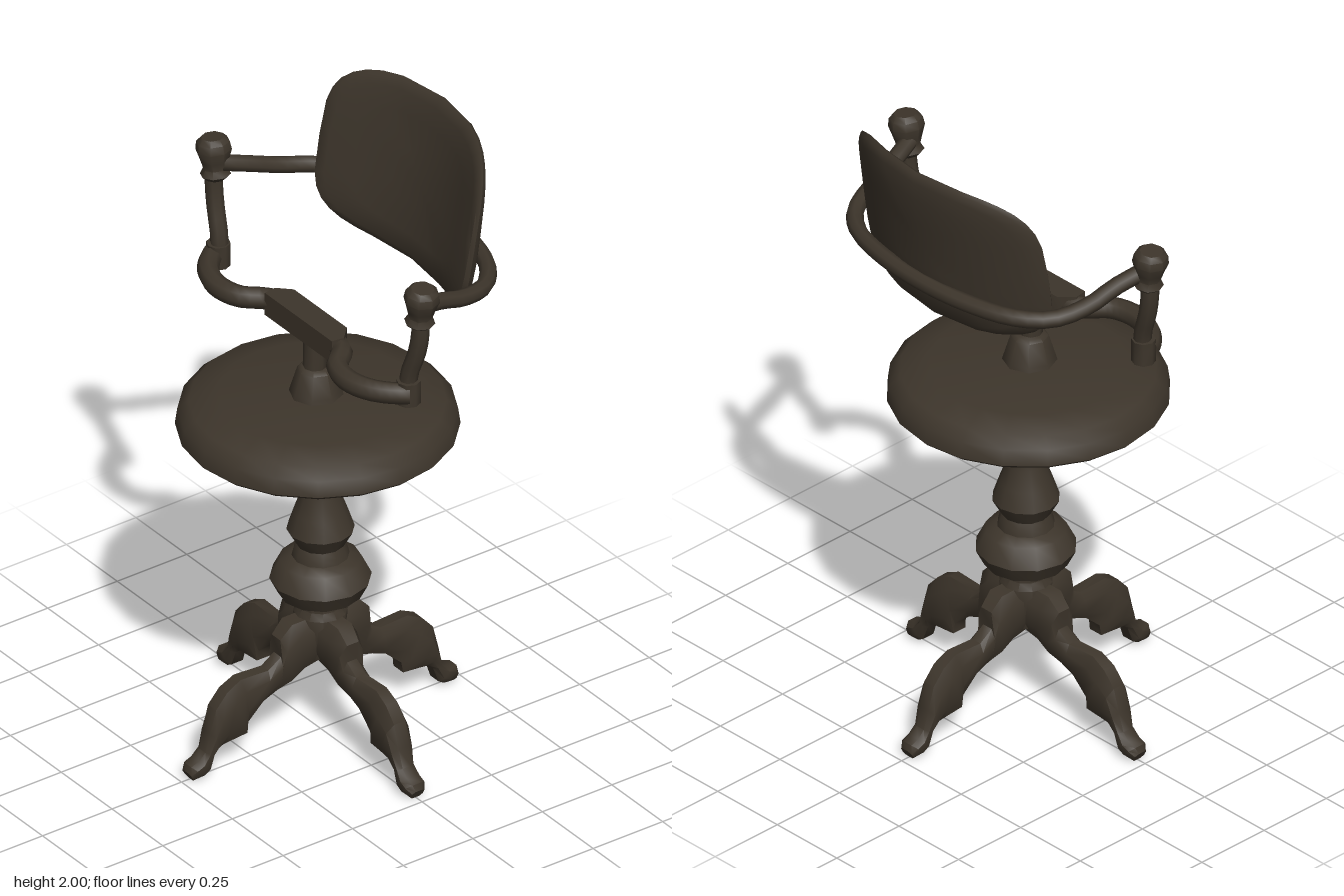
import * as THREE from 'three';
import { toCreasedNormals } from 'three/addons/utils/BufferGeometryUtils.js';

const wood = new THREE.MeshStandardMaterial({ color: 0x3d352b });
wood.name = 'dark wood';

const V = (x, y, z) => new THREE.Vector3(x, y, z);

function part(name, geo, parent, crease = 0.8) {
  const mesh = new THREE.Mesh(crease ? toCreasedNormals(geo, crease) : geo, wood);
  mesh.name = name;
  parent.add(mesh);
  return mesh;
}

// closed skin over a list of equal-sized rings, always facing outwards
function loft(rings) {
  const n = rings[0].length, pts = rings.flat(), tris = [];
  for (let i = 0; i < rings.length - 1; i++) {
    for (let j = 0; j < n; j++) {
      const a = i * n + j, b = i * n + (j + 1) % n;
      tris.push([a, b, a + n], [b, b + n, a + n]);
    }
  }
  const cap = (ring, start, flip) => {
    const c = pts.length;
    pts.push(ring.reduce((s, p) => s.add(p), V(0, 0, 0)).divideScalar(n));
    for (let j = 0; j < n; j++) {
      const a = start + j, b = start + (j + 1) % n;
      tris.push(flip ? [b, a, c] : [a, b, c]);
    }
  };
  const last = (rings.length - 1) * n;
  cap(rings[rings.length - 1].map(p => p.clone()), last, false);
  cap(rings[0].map(p => p.clone()), 0, true);
  let volume = 0;
  for (const [a, b, c] of tris) volume += pts[a].dot(pts[b].clone().cross(pts[c]));
  const geo = new THREE.BufferGeometry().setFromPoints(pts);
  geo.setIndex(tris.flatMap(([a, b, c]) => (volume > 0 ? [a, b, c] : [a, c, b])));
  geo.computeVertexNormals();
  return geo;
}

const lathe = (profile, sides) =>
  new THREE.LatheGeometry(profile.map(([r, y]) => new THREE.Vector2(r, y)), sides);

const tube = (points, radius, steps) =>
  new THREE.TubeGeometry(new THREE.CatmullRomCurve3(points, false, 'centripetal'), steps, radius, 8);

// leg running along +x: stations of top point, bottom point and half width
function legGeometry() {
  const stations = [
    [0.03, 0.41, 0.03, 0.26, 0.05], [0.12, 0.41, 0.08, 0.25, 0.05],
    [0.16, 0.37, 0.12, 0.22, 0.042], [0.155, 0.31, 0.17, 0.205, 0.035],
    [0.2, 0.28, 0.22, 0.185, 0.035], [0.3, 0.285, 0.275, 0.135, 0.036],
    [0.35, 0.26, 0.28, 0.1, 0.04], [0.39, 0.215, 0.34, 0.095, 0.04],
    [0.41, 0.14, 0.37, 0.09, 0.037], [0.425, 0.08, 0.392, 0.07, 0.03],
    [0.45, 0.06, 0.41, 0.02, 0.034], [0.477, 0.05, 0.43, 0.008, 0.034],
    [0.485, 0.03, 0.468, 0, 0.022],
  ];
  // section: share of the way down, share of the half width
  const section = [[0, 0.5], [0.25, 1], [0.7, 1], [1, 0.6], [1, -0.6], [0.7, -1], [0.25, -1], [0, -0.5]];
  return loft(stations.map(([tx, ty, bx, by, w]) =>
    section.map(([d, s]) => V(tx + (bx - tx) * d, ty + (by - ty) * d, s * w))));
}

// padded panel: rounded outline, bowed forward at the sides, leaning back
function backrestGeometry() {
  const rings = [];
  const layers = [[0.3, 1], [0.65, 1], [0.88, 1], [0.97, 1], [1, 0], [0.97, -1], [0.88, -1], [0.65, -1], [0.3, -1]];
  for (const [s, side] of layers) {
    const ring = [];
    for (let i = 0; i < 32; i++) {
      const a = (i / 32) * Math.PI * 2, c = Math.cos(a), q = Math.sin(a);
      const x = 0.383 * s * Math.sign(c) * Math.abs(c) ** 0.52;
      const y = 1.74 + 0.26 * s * Math.sign(q) * Math.abs(q) ** 0.52;
      const h = (y - 1.48) / 0.52;
      const half = (0.046 - 0.024 * h) * Math.sqrt(1 - s ** 8);
      ring.push(V(x, y, -0.347 - 0.093 * h + 0.8 * x * x + side * half));
    }
    rings.push(ring);
  }
  return loft(rings);
}

export function createModel() {
  const model = new THREE.Group();
  model.name = 'swivelChair';

  // turned pedestal
  part('column', lathe([
    [0, 0.27], [0.06, 0.27], [0.075, 0.33], [0.08, 0.41], [0.065, 0.43], [0.07, 0.46], [0.125, 0.475],
    [0.15, 0.525], [0.12, 0.585], [0.085, 0.6], [0.08, 0.62], [0.072, 0.64], [0.1, 0.69], [0.08, 0.75],
    [0.058, 0.81], [0.053, 0.845], [0.075, 0.88], [0.073, 0.915], [0.06, 0.93], [0.06, 0.96],
  ], 12), model);

  // four carved legs
  const legs = new THREE.Group();
  legs.name = 'legs';
  model.add(legs);
  const leg = legGeometry();
  for (let i = 0; i < 4; i++) part('leg', leg, legs).rotation.y = (i * Math.PI) / 2;

  // seat with its dished support
  part('seat', lathe([
    [0, 1.045], [0.26, 1.04], [0.405, 1.04], [0.415, 1.05], [0.408, 1.1], [0.375, 1.13], [0.29, 1.15], [0, 1.16],
  ], 20), model).position.z = 0.01;
  part('seatSupport', lathe([
    [0, 0.93], [0.06, 0.93], [0.11, 0.945], [0.2, 0.985], [0.26, 1.035], [0.26, 1.05],
  ], 16), model);

  // stem that carries the arms
  part('stemSocket', lathe([[0.085, 1.14], [0.077, 1.17], [0.056, 1.24], [0.045, 1.25], [0, 1.25]], 8), model)
    .position.z = 0.015;
  part('stem', new THREE.CylinderGeometry(0.034, 0.036, 0.18, 8), model).position.set(0, 1.32, 0.02);

  // front bar: a flat middle with a curved arm to each side
  const plate = new THREE.Shape([[-0.13, 0], [0.13, 0], [0.17, 0.04], [0.165, 0.08], [-0.165, 0.08], [-0.17, 0.04]]
    .map(([x, z]) => new THREE.Vector2(x, -z)));
  const plateGeo = new THREE.ExtrudeGeometry(plate, { depth: 0.075, bevelEnabled: false });
  plateGeo.rotateX(-Math.PI / 2);
  part('barPlate', plateGeo, model).position.y = 1.362;

  for (const s of [1, -1]) {
    const arm = new THREE.Group();
    arm.name = s > 0 ? 'leftArm' : 'rightArm';
    model.add(arm);
    part('barArm', tube([
      V(s * 0.13, 1.4, 0.04), V(s * 0.18, 1.4, 0.055), V(s * 0.24, 1.4, 0.115), V(s * 0.32, 1.4, 0.133),
      V(s * 0.4, 1.4, 0.11), V(s * 0.46, 1.4, 0.06), V(s * 0.48, 1.4, 0.03),
    ], 0.033, 16), arm, 0.9);
    part('postFoot', new THREE.CylinderGeometry(0.036, 0.036, 0.075, 8), arm).position.set(s * 0.468, 1.4, 0.025);
    part('post', tube([
      V(s * 0.463, 1.4, 0.025), V(s * 0.468, 1.46, 0.022), V(s * 0.495, 1.54, 0.015), V(s * 0.508, 1.61, 0.012),
      V(s * 0.508, 1.69, 0.012),
    ], 0.027, 8), arm, 0.9);
    const knob = part('knob', lathe([
      [0, 1.635], [0.03, 1.64], [0.046, 1.655], [0.036, 1.675], [0.043, 1.7], [0.054, 1.735], [0.05, 1.76], [0.035, 1.775], [0, 1.775],
    ].map(([r, y]) => [r, y - 1.7]), 8), arm);
    knob.position.set(s * 0.508, 1.695, 0.01);
    knob.rotation.z = -s * 0.12;
  }

  // rail sweeping round behind the backrest
  const half = [
    [0.49, 1.69, 0], [0.467, 1.665, -0.09], [0.453, 1.635, -0.18], [0.415, 1.617, -0.285],
    [0.33, 1.615, -0.36], [0.18, 1.615, -0.405],
  ];
  part('backRail', tube([
    ...half.map(p => V(...p)), V(0, 1.615, -0.42), ...half.slice().reverse().map(([x, y, z]) => V(-x, y, z)),
  ], 0.026, 36), model, 0.9);

  part('backrest', backrestGeometry(), model, 0.9);
  return model;
}
